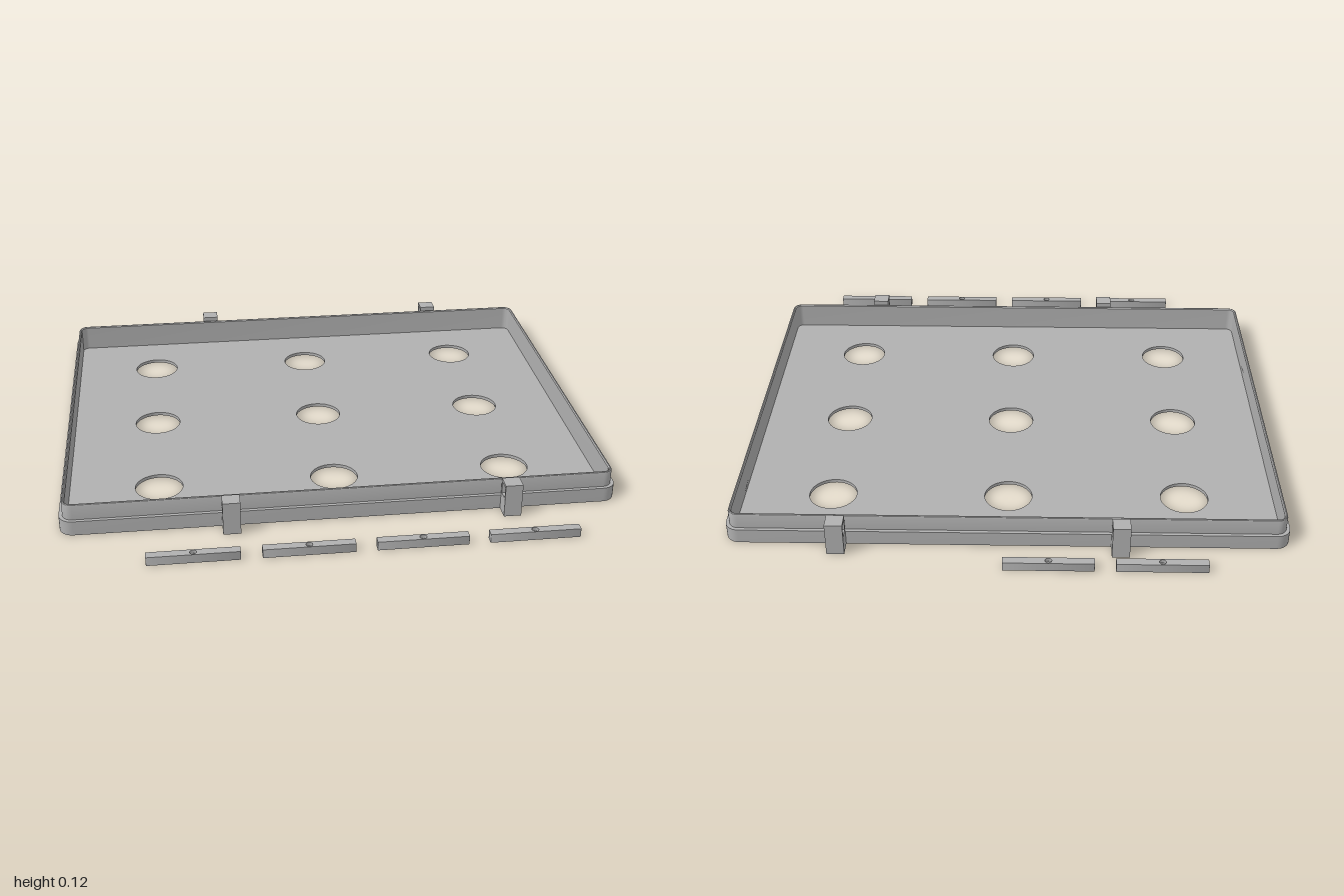
import * as THREE from 'three';
import { toCreasedNormals } from 'three/addons/utils/BufferGeometryUtils.js';

const grey = new THREE.MeshStandardMaterial({ color: 0xb0b0b0 });
grey.name = 'grey plastic';

const TRAY_Z = -0.045; // the tray sits slightly behind the centre

function roundedRect(hx, hz, r, Type = THREE.Shape) {
  const s = new Type();
  s.moveTo(hx, -hz + r);
  s.lineTo(hx, hz - r);
  s.absarc(hx - r, hz - r, r, 0, Math.PI / 2);
  s.lineTo(-hx + r, hz);
  s.absarc(-hx + r, hz - r, r, Math.PI / 2, Math.PI);
  s.lineTo(-hx, -hz + r);
  s.absarc(-hx + r, -hz + r, r, Math.PI, Math.PI * 1.5);
  s.lineTo(hx - r, -hz);
  s.absarc(hx - r, -hz + r, r, Math.PI * 1.5, Math.PI * 2);
  return s;
}

function circle(x, y, r) {
  return new THREE.Path().absarc(x, y, r, 0, Math.PI * 2, true);
}

// flat plate lying in xz, from y0 to y0 + height
function plate(shape, y0, height, name) {
  const g = new THREE.ExtrudeGeometry(shape, { depth: height, bevelEnabled: false, curveSegments: 20 });
  g.rotateX(-Math.PI / 2).translate(0, y0, 0);
  const m = new THREE.Mesh(toCreasedNormals(g, 0.6), grey);
  m.name = name;
  return m;
}

// wall swept around the tray: profile of [inset, y], stepped outside and rounded on top
function trayWall() {
  const profile = [
    [0, 0], [0, 0.055], [0.013, 0.055], [0.013, 0.108], [0.0145, 0.113],
    [0.017, 0.115], [0.02, 0.115], [0.024, 0.111], [0.024, 0.012],
  ];
  const steps = 8, count = 4 * (steps + 1);
  const pos = [], idx = [];
  for (const [inset, y] of profile) {
    const r = 0.05 - inset;
    for (let c = 0; c < 4; c++) {
      const sx = c === 0 || c === 3 ? 1 : -1, sz = c < 2 ? 1 : -1;
      for (let i = 0; i <= steps; i++) {
        const a = (c + i / steps) * Math.PI / 2;
        pos.push(sx * 0.95 + r * Math.cos(a), y, sz * 0.725 + r * Math.sin(a));
      }
    }
  }
  for (let k = 0; k < profile.length - 1; k++) {
    for (let i = 0; i < count; i++) {
      const j = (i + 1) % count, a = k * count, b = a + count;
      idx.push(a + i, b + i, a + j, a + j, b + i, b + j);
    }
  }
  const g = new THREE.BufferGeometry();
  g.setAttribute('position', new THREE.Float32BufferAttribute(pos, 3));
  g.setIndex(idx);
  const m = new THREE.Mesh(toCreasedNormals(g, 0.6), grey);
  m.name = 'trayWall';
  return m;
}

function tray() {
  const group = new THREE.Group();
  group.name = 'tray';
  const floor = roundedRect(0.9995, 0.7745, 0.0495);
  for (const x of [-0.65, 0, 0.65])
    for (const z of [-0.503, 0, 0.503]) floor.holes.push(circle(x, z, 0.088));
  group.add(plate(floor, 0, 0.013, 'trayFloor'), trayWall());
  group.position.z = TRAY_Z;
  return group;
}

// upright catch with a square eye running sideways
function clip(x, z) {
  const s = new THREE.Shape();
  s.moveTo(-0.029, 0).lineTo(0.029, 0).lineTo(0.029, 0.125).lineTo(-0.029, 0.125).closePath();
  const eye = new THREE.Path();
  eye.moveTo(-0.02, 0.07).lineTo(-0.02, 0.113).lineTo(0.02, 0.113).lineTo(0.02, 0.07).closePath();
  s.holes.push(eye);
  const g = new THREE.ExtrudeGeometry(s, { depth: 0.063, bevelEnabled: false });
  g.translate(0, 0, -0.0315).rotateY(Math.PI / 2);
  const m = new THREE.Mesh(g, grey);
  m.name = 'clip';
  m.position.set(x, 0, z);
  return m;
}

// loose bar: hollow underneath, with a pin hole through its top
function bar(x, z) {
  const group = new THREE.Group();
  group.name = 'bar';
  const sides = roundedRect(0.16, 0.016, 0.002);
  sides.holes.push(roundedRect(0.15, 0.010, 0.001, THREE.Path));
  const top = roundedRect(0.16, 0.016, 0.002);
  top.holes.push(circle(0, 0, 0.012));
  group.add(plate(sides, 0, 0.02, 'barSides'), plate(top, 0.02, 0.013, 'barTop'));
  group.position.set(x, 0, z);
  return group;
}

export function createModel() {
  const model = new THREE.Group();
  model.name = 'trayWithClips';
  model.add(tray());
  for (const x of [-0.4, 0.6])
    for (const side of [-1, 1]) model.add(clip(x, TRAY_Z + side * 0.804));
  for (let i = 0; i < 4; i++) {
    const x = -0.54 + i * 0.394;
    model.add(bar(x, 0.932));
    if (i < 2) model.add(bar(x, -0.938));
  }
  return model;
}
